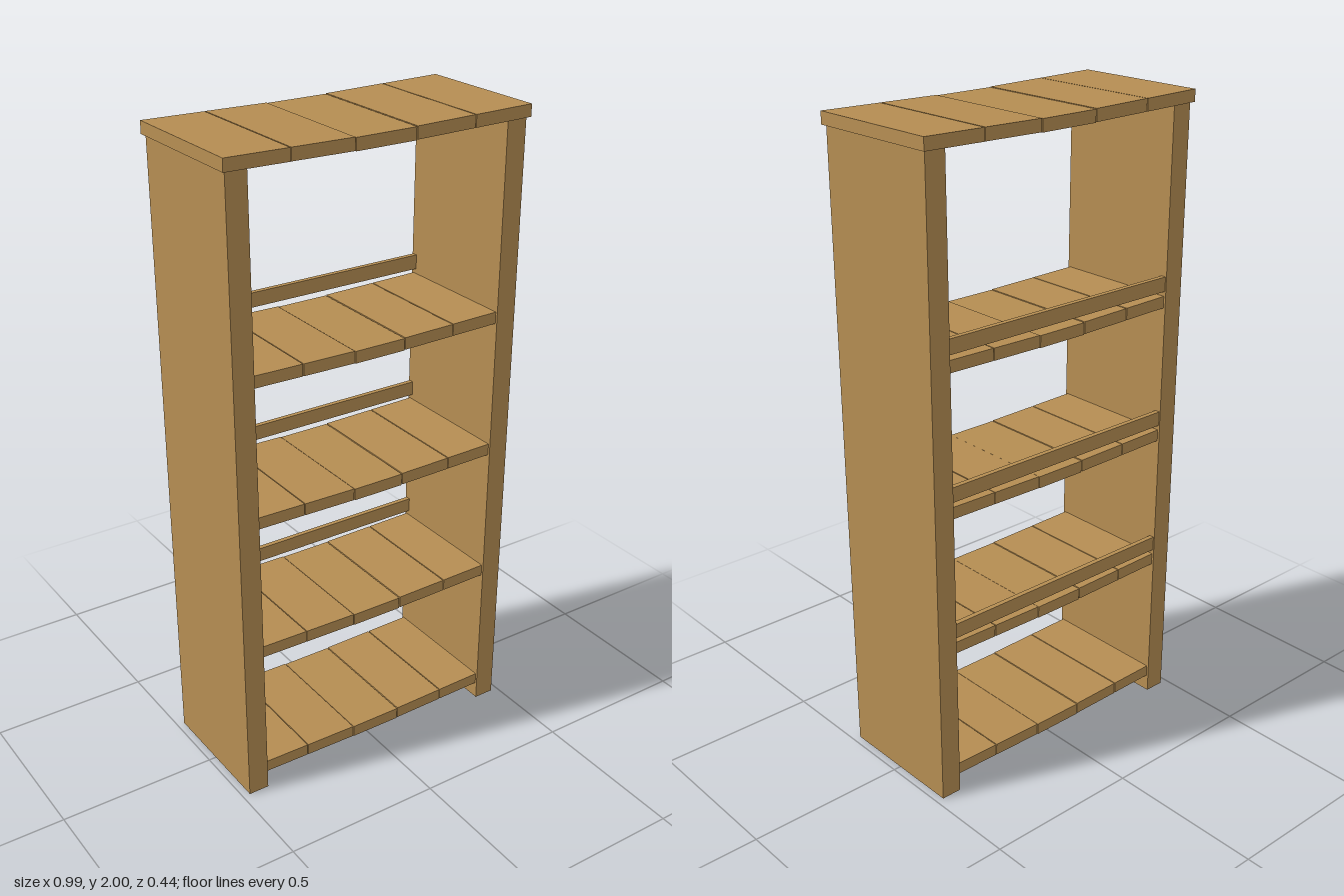
import * as THREE from 'three';

export function createModel() {
  const wood = new THREE.MeshStandardMaterial({ color: 0xb58d52 });
  const model = new THREE.Group();
  model.name = 'bookshelf';

  function board(name, w, h, d, x, y, z, tilt = 0, parent = model) {
    const mesh = new THREE.Mesh(new THREE.BoxGeometry(w, h, d), wood);
    mesh.name = name;
    mesh.position.set(x, y, z);
    mesh.rotation.z = tilt;
    parent.add(mesh);
  }

  // Five planks side by side, sagging slightly toward the middle
  function plankRow(name, width, topY, depth, thickness) {
    const row = new THREE.Group();
    row.name = name;
    const pitch = width / 5;
    for (let i = -2; i <= 2; i++) {
      const drop = [0.009, 0.006, 0.003][Math.abs(i)];
      board('plank', pitch - 0.003, thickness, depth, i * pitch, topY - drop - thickness / 2, 0,
        Math.sign(i) * 0.016, row);
    }
    model.add(row);
  }

  // Side panels, leaning outward toward the top
  for (const side of [1, -1]) {
    const geometry = new THREE.BoxGeometry(0.066, 1.965, 0.424);
    const p = geometry.attributes.position;
    for (let i = 0; i < p.count; i++) {
      const y = p.getY(i) + 0.9825;
      p.setXYZ(i, p.getX(i) + side * (0.443 + 0.0055 * y), y, p.getZ(i));
    }
    geometry.computeVertexNormals();
    const panel = new THREE.Mesh(geometry, wood);
    panel.name = side > 0 ? 'leftSidePanel' : 'rightSidePanel';
    model.add(panel);
  }

  // Top and shelves
  plankRow('top', 0.995, 2.003, 0.444, 0.037);
  for (const y of [0.093, 0.518, 0.955, 1.392]) plankRow('shelf', 0.86, y, 0.41, 0.037);

  // Rails along the back above the three upper shelves
  for (const y of [0.555, 0.992, 1.429]) board('backRail', 0.84, 0.046, 0.016, 0, y, -0.2);

  return model;
}
